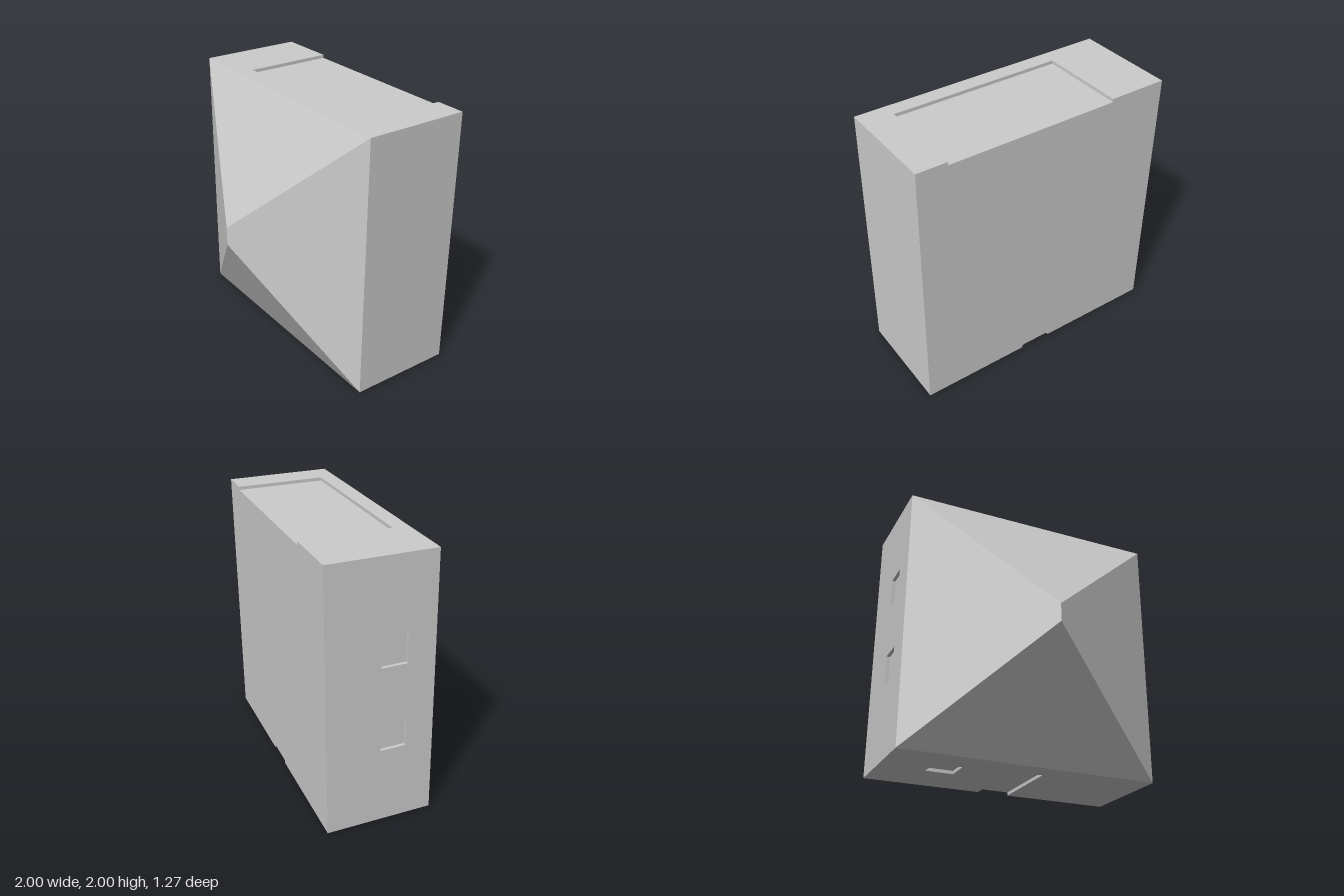
import * as THREE from 'three';
import { mergeGeometries } from 'three/addons/utils/BufferGeometryUtils.js';

const BACK = -0.635, EDGE = 0.155, TIP = 0.635; // z of back, slab front, ridge
const D = 0.025; // recess depth
const material = new THREE.MeshStandardMaterial({ color: 0xcccccc, flatShading: true });
const vec = (p) => new THREE.Vector2(p[0], p[1]);

// Counter-clockwise rectangle
const rect = (u0, v0, u1, v1) => [[u0, v0], [u1, v0], [u1, v1], [u0, v1]];

// Flat convex face from corners in counter-clockwise order
function face(...corners) {
  const pos = [];
  for (let i = 1; i < corners.length - 1; i++) pos.push(...corners[0], ...corners[i], ...corners[i + 1]);
  const g = new THREE.BufferGeometry();
  g.setAttribute('position', new THREE.Float32BufferAttribute(pos, 3));
  g.computeVertexNormals();
  return g;
}

// Flat sheet with optional holes, in its own u-v plane
function sheet(outline, holes = []) {
  const shape = new THREE.Shape(outline.map(vec));
  holes.forEach((h) => shape.holes.push(new THREE.Path(h.map(vec))));
  const g = new THREE.ShapeGeometry(shape).toNonIndexed();
  g.deleteAttribute('uv');
  return g;
}

// Shallow recess: floor plus inward walls; an open one has no wall on its last edge
function recess(points, open = false) {
  const parts = [sheet(points).translate(0, 0, -D)];
  points.forEach((p, i) => {
    if (open && i === points.length - 1) return;
    const q = points[(i + 1) % points.length];
    parts.push(face([...p, 0], [...q, 0], [...q, -D], [...p, -D]));
  });
  return mergeGeometries(parts);
}

export function createModel() {
  const group = new THREE.Group();
  group.name = 'block';

  const add = (name, parts, u, v, n, origin) => {
    const g = mergeGeometries(parts);
    if (u) {
      const m = new THREE.Matrix4().makeBasis(
        new THREE.Vector3(...u), new THREE.Vector3(...v), new THREE.Vector3(...n));
      g.applyMatrix4(m.setPosition(...origin));
    }
    const mesh = new THREE.Mesh(g, material);
    mesh.name = name;
    group.add(mesh);
  };

  // Top with a wide recess open to the back
  const tray = [[-0.55, -BACK], [-0.55, -0.035], [0.77, -0.035], [0.77, -BACK]];
  add('top', [
    sheet([[-1, -EDGE], [1, -EDGE], [1, -BACK], ...[...tray].reverse(), [-1, -BACK]]),
    recess(tray, true),
  ], [1, 0, 0], [0, 0, -1], [0, 1, 0], [0, 2, 0]);

  // Bottom with a slot open to the back and a small square pocket
  const slot = [[0.16, BACK], [0.16, -0.01], [-0.09, -0.01], [-0.09, BACK]];
  const pocket = rect(-0.65, -0.26, -0.44, -0.07);
  add('bottom', [
    sheet([[-1, BACK], ...[...slot].reverse(), [1, BACK], [1, EDGE], [-1, EDGE]], [pocket]),
    recess(slot, true),
    recess(pocket),
  ], [1, 0, 0], [0, 0, 1], [0, -1, 0], [0, 0, 0]);

  // Right side with two pockets
  const windows = [0.58, 1.22].map((y) => rect(-0.24, y, -0.05, y + 0.24));
  add('rightSide', [
    sheet(rect(BACK, 0, EDGE, 2), windows),
    ...windows.map((w) => recess(w)),
  ], [0, 0, 1], [0, 1, 0], [-1, 0, 0], [-1, 0, 0]);

  // Plain left side
  add('leftSide', [sheet(rect(-EDGE, 0, -BACK, 2))],
    [0, 0, -1], [0, 1, 0], [1, 0, 0], [1, 0, 0]);

  // Back, notched where the recesses run out
  add('back', [sheet([
    [-1, 0], [-0.16, 0], [-0.16, D], [0.09, D], [0.09, 0], [1, 0],
    [1, 2], [0.55, 2], [0.55, 2 - D], [-0.77, 2 - D], [-0.77, 2], [-1, 2],
  ])], [-1, 0, 0], [0, 1, 0], [0, 0, -1], [0, 0, BACK]);

  // Hipped front rising to a short upright ridge
  const [a, b, c, d] = rect(-1, 0, 1, 2).map((p) => [...p, EDGE]);
  const low = [0, 0.93, TIP], high = [0, 1.07, TIP];
  add('hippedFront', [
    face(a, b, low), face(b, c, high, low), face(c, d, high), face(d, a, low, high),
  ]);

  return group;
}
